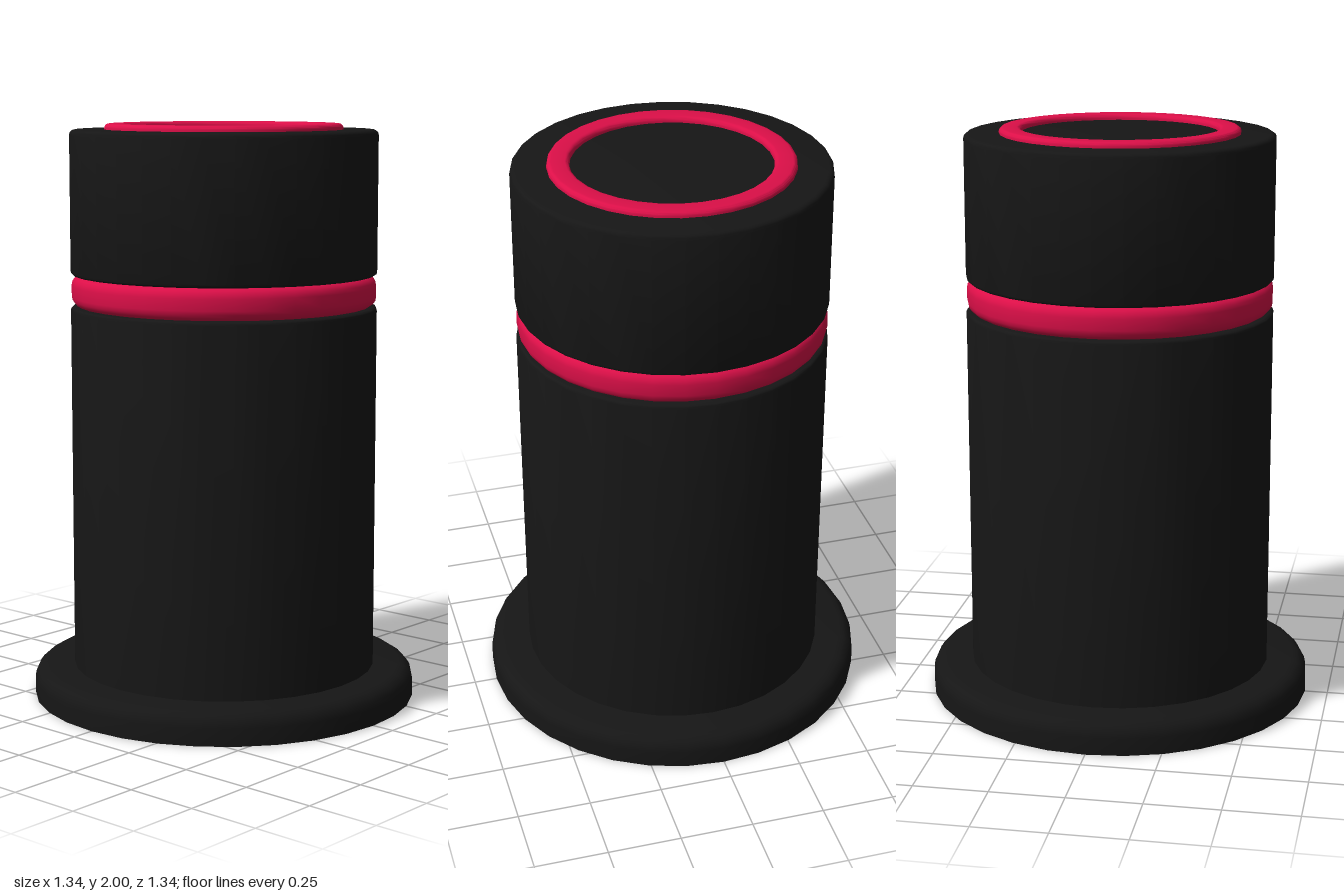
import * as THREE from 'three';
import { toCreasedNormals } from 'three/addons/utils/BufferGeometryUtils.js';

const SEGMENTS = 32;
const black = new THREE.MeshStandardMaterial({ color: 0x161616 });
const red = new THREE.MeshStandardMaterial({ color: 0xdc0f48 });

// Quarter-round corner: centre (x, y), radius r, sweeping 90 degrees from angle a
function corner(x, y, r, a, steps = 4) {
  const points = [];
  for (let i = 0; i <= steps; i++) {
    const t = a + (i / steps) * Math.PI / 2;
    points.push([x + r * Math.cos(t), y + r * Math.sin(t)]);
  }
  return points;
}

// Turned part from a profile running from bottom to top along the outside
function turned(name, profile, material) {
  const points = profile.map(([x, y]) => new THREE.Vector2(x, y));
  const geometry = toCreasedNormals(new THREE.LatheGeometry(points, SEGMENTS), 0.6);
  const mesh = new THREE.Mesh(geometry, material);
  mesh.name = name;
  return mesh;
}

// Solid disc with rounded lower and upper edges
function drum(name, radius, bottom, top, lowRound, highRound, material) {
  return turned(name, [
    [0, bottom],
    ...(lowRound ? corner(radius - lowRound, bottom + lowRound, lowRound, -Math.PI / 2) : [[radius, bottom]]),
    ...corner(radius - highRound, top - highRound, highRound, 0),
    [0, top],
  ], material);
}

export function createModel() {
  const group = new THREE.Group();
  group.name = 'canister';

  group.add(drum('baseFlange', 0.67, 0, 0.11, 0, 0.05, black));
  group.add(drum('body', 0.53, 0.002, 1.375, 0, 0.012, black));
  group.add(drum('redBand', 0.527, 1.375, 1.484, 0.035, 0.035, red));
  group.add(drum('cap', 0.53, 1.484, 1.98, 0.012, 0.018, black));

  // Raised ring on the cap, with rounded shoulders
  group.add(turned('topRing', [
    [0.41, 1.965],
    ...corner(0.395, 1.985, 0.015, 0),
    ...corner(0.35, 1.985, 0.015, Math.PI / 2),
    [0.335, 1.965],
  ], red));

  return group;
}
